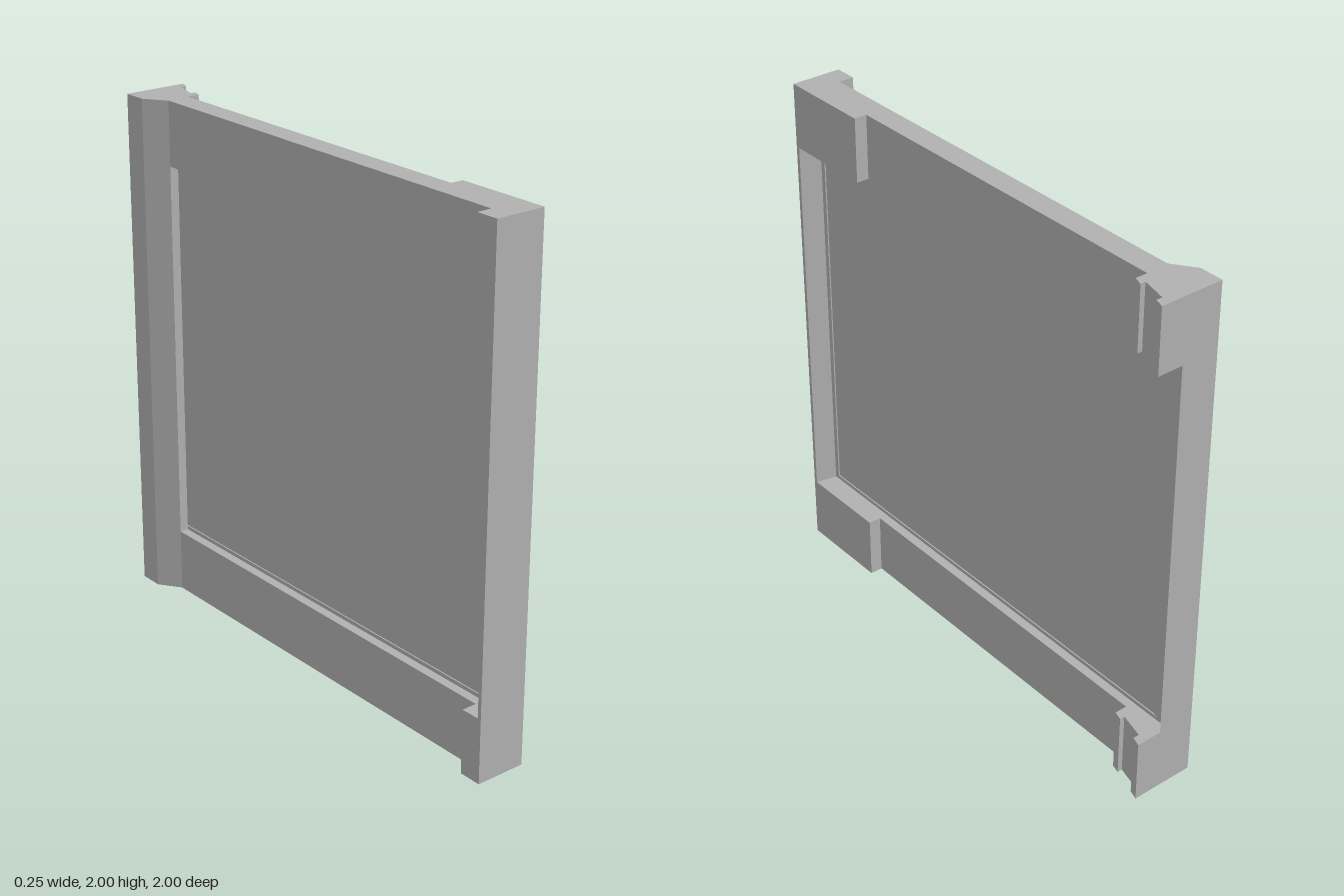
import * as THREE from 'three';

// Extrudes an [x, z] outline upward from y0 to y1
function prism(name, points, y0, y1, material) {
  const shape = new THREE.Shape(points.map(([x, z]) => new THREE.Vector2(x, -z)));
  const geometry = new THREE.ExtrudeGeometry(shape, { depth: y1 - y0, bevelEnabled: false });
  geometry.rotateX(-Math.PI / 2);
  geometry.translate(0, y0, 0);
  const mesh = new THREE.Mesh(geometry, material);
  mesh.name = name;
  return mesh;
}

function box(name, [x0, x1], [y0, y1], [z0, z1], material) {
  const mesh = new THREE.Mesh(new THREE.BoxGeometry(x1 - x0, y1 - y0, z1 - z0), material);
  mesh.position.set((x0 + x1) / 2, (y0 + y1) / 2, (z0 + z1) / 2);
  mesh.name = name;
  return mesh;
}

export function createModel() {
  const group = new THREE.Group();
  group.name = 'panelFrame';
  const grey = new THREE.MeshStandardMaterial({ color: 0xb0b0b0 });
  grey.name = 'grey';

  const low = 0.25, high = 1.75;

  // Top and bottom rails share one stepped outline
  const rail = [
    [-0.13, 1], [0.07, 1], [0.07, 0.625], [0.02, 0.625],
    [0.02, -0.825], [0.07, -0.825], [0.08, -0.86], [0.06, -0.86],
    [0.085, -0.962], [0.11, -0.962], [0.122, -1], [-0.13, -1],
    [-0.13, -0.905], [-0.07, -0.82], [-0.07, 0.91], [-0.13, 0.91],
  ];
  group.add(prism('bottomRail', rail, 0, low, grey));
  group.add(prism('topRail', rail, high, 2, grey));

  // Thin front post with slightly tapered inner faces
  group.add(prism('frontPost', [
    [-0.13, 1], [0.07, 1], [0.07, 0.985], [-0.015, 0.97], [-0.035, 0.97], [-0.13, 0.985],
  ], low, high, grey));

  // Back post with chamfered sides
  group.add(prism('backPost', [
    [-0.13, -1], [-0.13, -0.905], [-0.07, -0.82], [-0.035, -0.82],
    [-0.035, -0.945], [-0.015, -0.967], [0.02, -1],
  ], low, high, grey));

  // Narrow border around the panel
  const depth = [-0.035, -0.015];
  group.add(box('frontBorder', depth, [low, high], [0.95, 0.97], grey));
  group.add(box('backBorder', depth, [low, high], [-0.967, -0.945], grey));
  for (const [name, y0, y1] of [['bottomBorder', low, 0.265], ['topBorder', 1.735, high]]) {
    group.add(box(name, depth, [y0, y1], [-0.945, 0.95], grey));
  }

  // Recessed panel and its small back lip
  group.add(box('panel', [-0.03, -0.02], [0.265, 1.735], [-0.945, 0.95], grey));
  group.add(box('panelLip', [-0.03, -0.017], [0.265, 1.735], [-0.945, -0.93], grey));

  return group;
}
